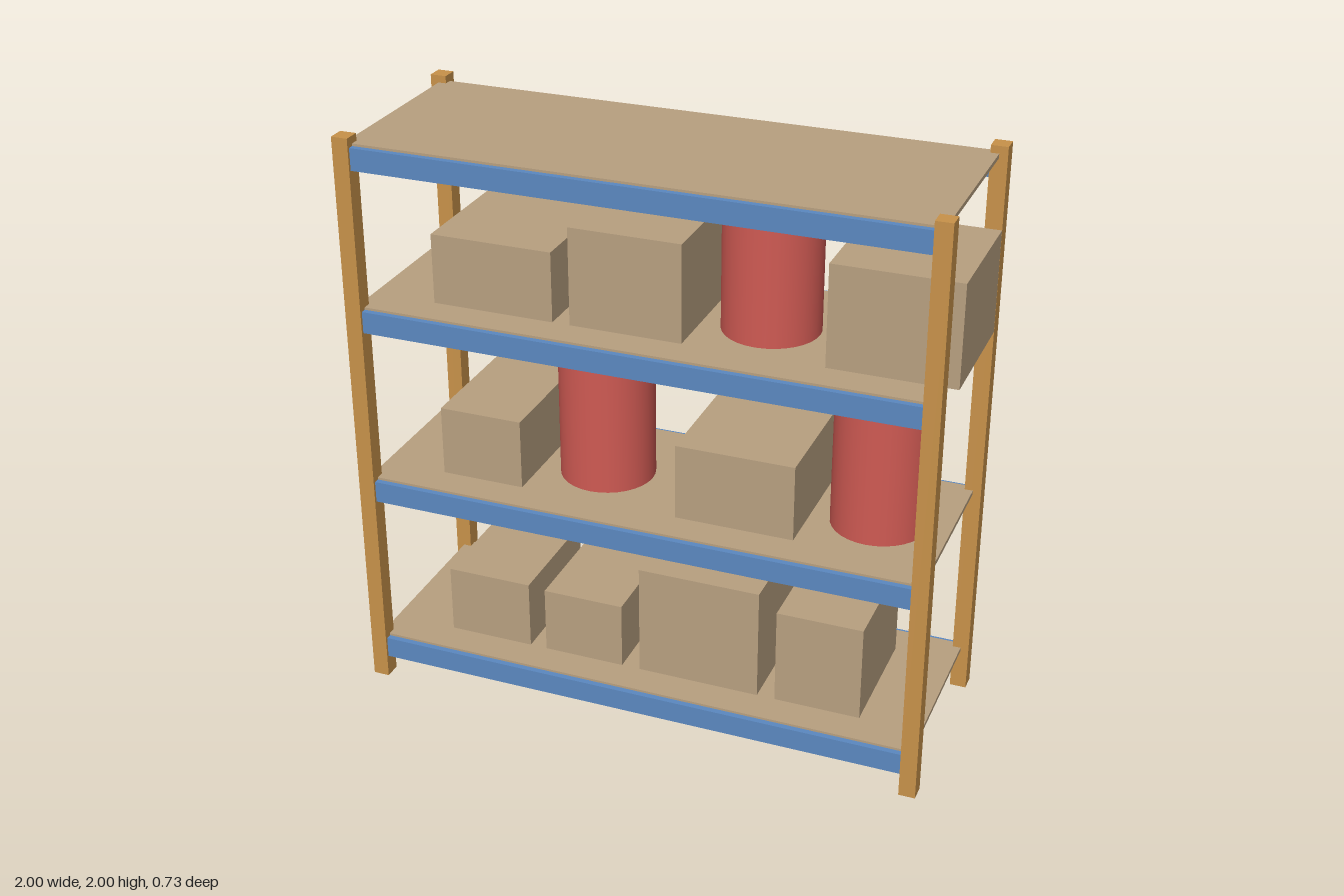
import * as THREE from 'three';

const mat = (name, color) => {
  const m = new THREE.MeshStandardMaterial({ color });
  m.name = name;
  return m;
};

export function createModel() {
  const model = new THREE.Group();
  model.name = 'storageRack';

  const orange = mat('orangePost', 0xc8924a);
  const blue = mat('blueBeam', 0x5b88c0);
  const tan = mat('tanBoard', 0xb8a080);
  const red = mat('redDrum', 0xcf5a53);

  // Box given by its minimum and maximum on each axis
  const box = (name, material, [x0, x1], [y0, y1], [z0, z1], parent = model) => {
    const mesh = new THREE.Mesh(new THREE.BoxGeometry(x1 - x0, y1 - y0, z1 - z0), material);
    mesh.position.set((x0 + x1) / 2, (y0 + y1) / 2, (z0 + z1) / 2);
    mesh.name = name;
    parent.add(mesh);
  };

  const left = -0.972, right = 0.953, depth = 0.335, half = 0.028;

  // Four corner posts
  for (const x of [left, right])
    for (const z of [-depth, depth])
      box('post', orange, [x - half, x + half], [0, 2], [z - 0.029, z + 0.029]);

  // Goods on each shelf: [kind, x start, x end, height]
  const shelves = [
    { top: 0.16, goods: [['carton', -0.75, -0.45, 0.243], ['carton', -0.39, -0.105, 0.235],
      ['carton', -0.04, 0.385, 0.397], ['carton', 0.447, 0.743, 0.34]] },
    { top: 0.788, goods: [['carton', -0.75, -0.46, 0.244], ['drum', -0.4, -0.076, 0.443],
      ['carton', 0.09, 0.495, 0.264], ['drum', 0.556, 0.88, 0.443]] },
    { top: 1.417, goods: [['carton', -0.75, -0.33, 0.24], ['carton', -0.27, 0.111, 0.334],
      ['drum', 0.171, 0.495, 0.443], ['carton', 0.58, 0.998, 0.344]] },
    { top: 1.975, goods: [] },
  ];

  shelves.forEach(({ top, goods }, i) => {
    const level = new THREE.Group();
    level.name = 'shelf' + (i + 1);
    model.add(level);

    // Deck with a beam along its front and back edges
    box('deck', tan, [left, right], [top - 0.015, top], [-depth, depth], level);
    for (const z of [-depth, depth])
      box('beam', blue, [left, right], [top - 0.083, top - 0.008], [z - 0.02, z + 0.02], level);

    for (const [kind, x0, x1, h] of goods) {
      if (kind === 'carton') {
        box('carton', tan, [x0, x1], [top, top + h], [-0.22, 0.22], level);
      } else {
        const r = (x1 - x0) / 2;
        const drum = new THREE.Mesh(new THREE.CylinderGeometry(r, r, h, 32), red);
        drum.position.set((x0 + x1) / 2, top + h / 2, 0);
        drum.name = 'drum';
        level.add(drum);
      }
    }
  });

  return model;
}
